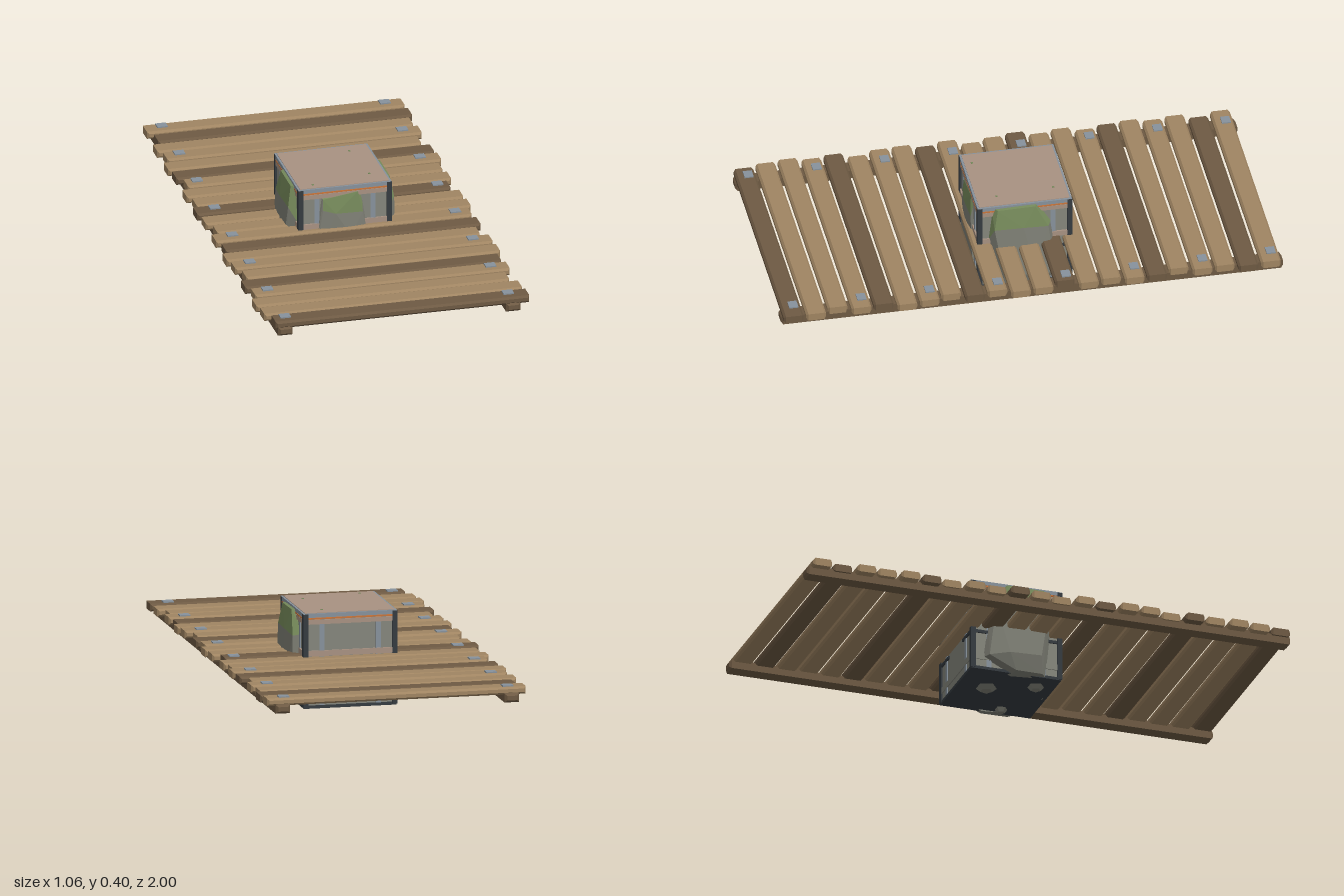
import * as THREE from 'three';
import { ConvexGeometry } from 'three/addons/geometries/ConvexGeometry.js';

const mat = (name, color, extra = {}) => Object.assign(new THREE.MeshStandardMaterial({ color, ...extra }), { name });

export function createModel() {
  const model = new THREE.Group();
  model.name = 'plankDeckWithCrate';
  const lightWood = mat('lightWood', 0xa08562);
  const darkWood = mat('darkWood', 0x6e5a43);
  const steel = mat('steel', 0x87929c);
  const iron = mat('darkIron', 0x353b40);
  const panelGrey = mat('panelGrey', 0x85867c);
  const beige = mat('beigeTrim', 0xa89282);
  const orange = mat('orangeStripe', 0xc8743a);
  const stone = mat('stone', 0x7d7e74, { flatShading: true });
  const moss = mat('moss', 0x75895a, { flatShading: true });

  const add = (parent, name, geometry, material, x = 0, y = 0, z = 0) => {
    const mesh = new THREE.Mesh(geometry, material);
    mesh.name = name;
    mesh.position.set(x, y, z);
    parent.add(mesh);
    return mesh;
  };
  const box = (parent, name, w, h, d, material, x, y, z) =>
    add(parent, name, new THREE.BoxGeometry(w, h, d), material, x, y, z);

  // Board with chamfered edges, centred on its origin
  const board = (w, h, d, b) => {
    const x = w / 2 - b, y = h / 2 - b;
    const shape = new THREE.Shape([[-x, -y], [x, -y], [x, y], [-x, y]].map(p => new THREE.Vector2(...p)));
    const g = new THREE.ExtrudeGeometry(shape, { depth: d - 2 * b, bevelSize: b, bevelThickness: b, bevelSegments: 1 });
    return g.translate(0, 0, b - d / 2);
  };

  // Deck: long rails, cross planks and fixing plates
  const deck = new THREE.Group();
  deck.name = 'deck';
  model.add(deck);
  for (const s of [-1, 1]) add(deck, 'rail', board(0.058, 0.036, 2, 0.009), darkWood, s * 0.46, 0.184, 0);
  const ends = [[-0.52, 0.52], [-0.498, 0.526], [-0.526, 0.507], [-0.51, 0.518], [-0.53, 0.492]];
  for (let i = 0; i < 22; i++) {
    const [a, b] = ends[i % 5];
    const z = -0.945 + i * 0.0905;
    const y = 0.207 + (i % 3 === 0 ? 0.003 : 0);
    add(deck, 'plank', board(b - a, 0.03, 0.079, 0.008), i % 4 === 1 ? darkWood : lightWood, (a + b) / 2, y, z);
    if (i % 3 === 0)
      for (const s of [-1, 1]) box(deck, 'fixingPlate', 0.042, 0.008, 0.036, steel, s * 0.45, 0.226, z - 0.01);
  }

  // Crate: body, corner posts, floor and lid
  const crate = new THREE.Group();
  crate.name = 'crate';
  crate.position.z = -0.03;
  model.add(crate);
  box(crate, 'body', 0.364, 0.355, 0.364, panelGrey, 0, 0.205, 0);
  box(crate, 'floor', 0.372, 0.012, 0.372, iron, 0, 0.022, 0);
  for (const sx of [-1, 1])
    for (const sz of [-1, 1])
      box(crate, 'cornerPost', 0.02, 0.372, 0.02, iron, sx * 0.179, 0.206, sz * 0.179);
  box(crate, 'lidFrame', 0.376, 0.016, 0.376, steel, 0, 0.386, 0);
  box(crate, 'lidPanel', 0.36, 0.004, 0.36, beige, 0, 0.394, 0);
  for (const [x, z] of [[-0.12, 0.15], [0.12, 0.1], [0.1, -0.13]])
    box(crate, 'mossFleck', 0.008, 0.002, 0.008, moss, x, 0.397, z);

  // The four walls share one layout
  for (let i = 0; i < 4; i++) {
    const wall = new THREE.Group();
    wall.name = 'wall';
    wall.rotation.y = i * Math.PI / 2;
    crate.add(wall);
    box(wall, 'stripe', 0.35, 0.006, 0.007, orange, 0, 0.374, 0.185);
    box(wall, 'upperTrim', 0.338, 0.018, 0.006, beige, 0, 0.36, 0.184);
    box(wall, 'middleTrim', 0.338, 0.022, 0.007, beige, 0, 0.235, 0.185);
    box(wall, 'lowerTrim', 0.338, 0.025, 0.004, panelGrey, 0, 0.07, 0.185);
    for (const s of [-1, 1]) {
      box(wall, 'slat', 0.02, 0.325, 0.006, steel, s * 0.113, 0.19, 0.183);
      box(wall, 'vent', 0.085, 0.012, 0.006, iron, s * 0.125, 0.177, 0.185);
    }
  }

  // Faceted rock; facets above mossLine are mossy
  const rock = (name, points, mossLine) => {
    const g = new ConvexGeometry(points.map(p => new THREE.Vector3(...p)));
    const p = g.attributes.position;
    for (let i = 0; i < p.count; i += 3) {
      const mid = (p.getY(i) + p.getY(i + 1) + p.getY(i + 2)) / 3;
      g.addGroup(i, 3, mid > mossLine ? 1 : 0);
    }
    return add(model, name, g, [stone, moss]);
  };
  rock('frontRock', [
    [-0.1, 0.36, 0.14], [0.07, 0.378, 0.14], [0.08, 0.28, 0.14], [0.115, 0.09, 0.14], [0, 0.012, 0.14],
    [-0.14, 0.06, 0.14], [-0.11, 0.28, 0.14], [-0.09, 0.345, 0.158], [0.05, 0.365, 0.158], [0.07, 0.28, 0.163],
    [-0.04, 0.285, 0.17], [-0.09, 0.3, 0.163], [0.1, 0.1, 0.163], [-0.03, 0.035, 0.166], [-0.125, 0.08, 0.163],
    [0.02, 0.19, 0.173]], 0.305);
  for (const s of [-1, 1])
    rock('sideRock', [
      [0.17, 0.385, 0.1], [0.17, 0.39, -0.08], [0.17, 0.3, -0.14], [0.17, 0.07, -0.17], [0.17, 0.01, -0.05],
      [0.17, 0.02, 0.1], [0.17, 0.22, 0.12], [0.2, 0.383, 0.08], [0.2, 0.385, -0.07], [0.214, 0.3, 0.095],
      [0.217, 0.3, -0.02], [0.208, 0.29, -0.12], [0.23, 0.09, 0.06], [0.232, 0.085, -0.07], [0.215, 0.07, -0.15],
      [0.21, 0.02, 0.07], [0.212, 0.02, -0.04]].map(([x, y, z]) => [s * x, y, z]), 0.29);

  // Small stones under the floor
  for (const [x, z, r] of [[-0.1, 0.08, 0.04], [0.14, 0.02, 0.03], [-0.03, -0.1, 0.05]])
    add(model, 'underStone', new THREE.CylinderGeometry(r, r * 0.5, 0.022, 5), stone, x, 0.011, z);

  return model;
}
